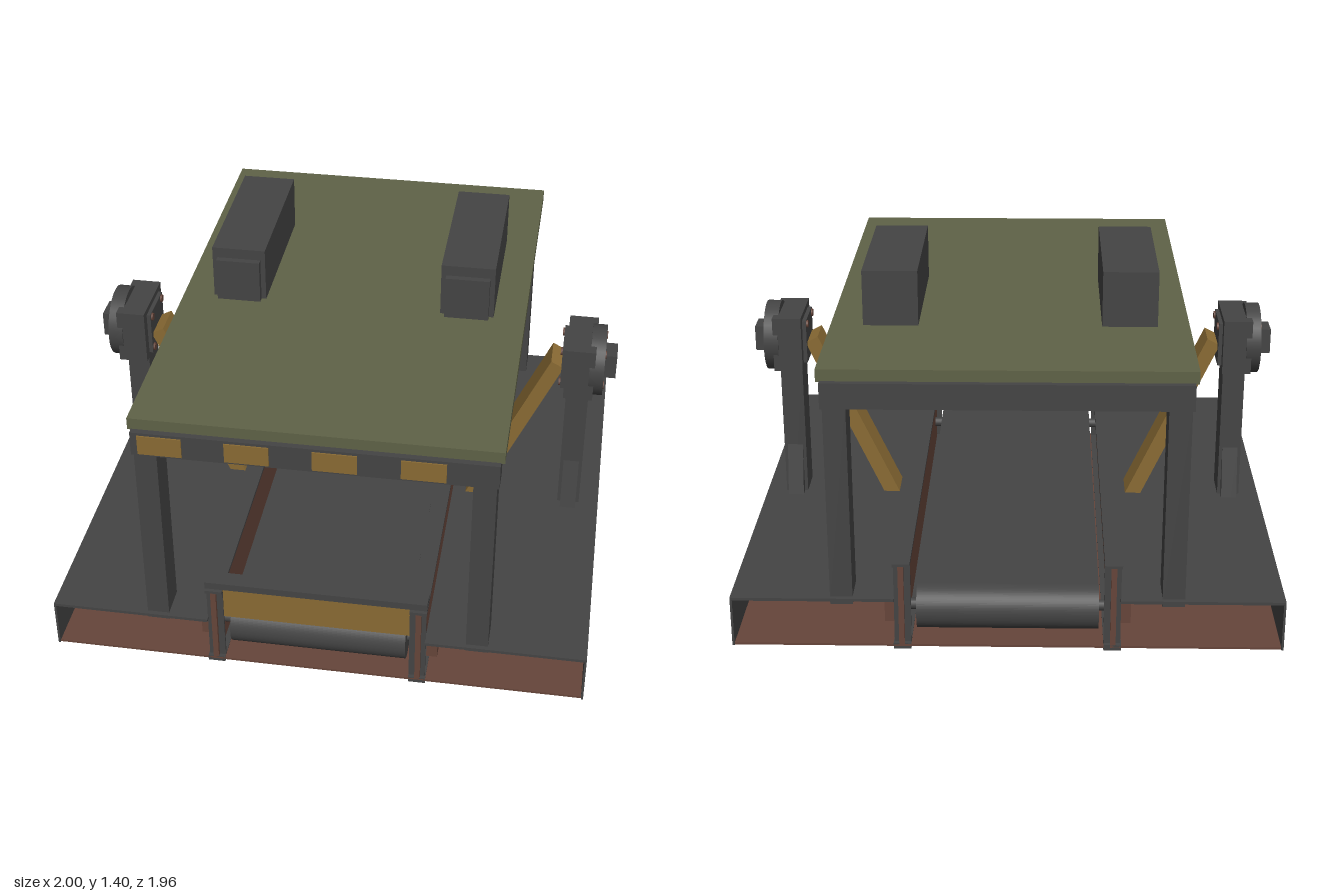
import * as THREE from 'three';

const mat = (name, color) => {
  const m = new THREE.MeshStandardMaterial({ color });
  m.name = name;
  return m;
};

export function createModel() {
  const root = new THREE.Group();
  root.name = 'conveyorGantry';
  const dark = mat('darkSteel', 0x444444);
  const olive = mat('olivePaint', 0x5f6247);
  const yellow = mat('yellowPaint', 0x8a6b34);
  const rust = mat('rustySteel', 0x66453a);

  const add = (parent, name, geo, m) => {
    const mesh = new THREE.Mesh(geo, m);
    mesh.name = name;
    parent.add(mesh);
    return mesh;
  };
  // Box given by its extents along each axis
  const box = (parent, name, m, x0, x1, y0, y1, z0, z1) => {
    const mesh = add(parent, name, new THREE.BoxGeometry(Math.abs(x1 - x0), y1 - y0, Math.abs(z1 - z0)), m);
    mesh.position.set((x0 + x1) / 2, (y0 + y1) / 2, (z0 + z1) / 2);
    return mesh;
  };
  // Cylinder along x
  const rod = (parent, name, m, x0, x1, y, z, r, sides = 32) => {
    const geo = new THREE.CylinderGeometry(r, r, Math.abs(x1 - x0), sides).rotateZ(Math.PI / 2);
    const mesh = add(parent, name, geo, m);
    mesh.position.set((x0 + x1) / 2, y, z);
    return mesh;
  };
  // Polygon in (u, y) extruded by depth, centred on the extrusion axis
  const slab = (points, depth) => {
    const shape = new THREE.Shape(points.map(([u, y]) => new THREE.Vector2(u, y)));
    return new THREE.ExtrudeGeometry(shape, { depth, bevelEnabled: false }).translate(0, 0, -depth / 2);
  };
  const group = (name) => {
    const g = new THREE.Group();
    g.name = name;
    root.add(g);
    return g;
  };

  // Hollow base deck, open at front and back
  const deck = group('deck');
  box(deck, 'floorPlate', rust, -0.98, 0.98, 0.155, 0.163, -0.975, 0.975);
  for (const s of [-1, 1]) {
    box(deck, 'topPlate', dark, s * 0.4, s * 0.98, 0.334, 0.345, -0.98, 0.98);
    box(deck, 'sidePlate', dark, s * 0.973, s * 0.981, 0.155, 0.345, -0.98, 0.98);
    for (const z of [-0.59, 0.59]) box(deck, 'deckLeg', dark, s * 0.935, s * 0.977, 0, 0.334, z - 0.03, z + 0.03);
  }

  // Conveyor: I-beam rails, legs, feet, cross members
  const conveyor = group('conveyor');
  for (const s of [-1, 1]) {
    box(conveyor, 'railWeb', rust, s * 0.365, s * 0.385, 0.155, 0.47, -0.975, 0.975);
    box(conveyor, 'railTopFlange', dark, s * 0.342, s * 0.405, 0.468, 0.48, -0.975, 0.975);
    box(conveyor, 'railBottomFlange', dark, s * 0.342, s * 0.405, 0.145, 0.166, -0.975, 0.975);
    for (const e of [-1, 1]) {
      const z = e * 0.59;
      box(conveyor, 'railEnd', dark, s * 0.342, s * 0.402, 0.15, 0.47, e * 0.95, e * 0.96);
      box(conveyor, 'conveyorLeg', dark, s * 0.342, s * 0.4, 0.012, 0.155, z - 0.033, z + 0.033);
      box(conveyor, 'footPlate', rust, s * 0.305, s * 0.44, 0.005, 0.018, z - 0.07, z + 0.07);
      rod(conveyor, 'rollerShaft', dark, s * 0.31, s * 0.44, 0.265, e * 0.86, 0.02, 16);
      box(conveyor, 'bearingBlock', rust, s * 0.4, s * 0.44, 0.22, 0.31, e * 0.86 - 0.05, e * 0.86 + 0.05);
    }
  }
  for (const z of [-0.59, 0.59]) box(conveyor, 'crossMember', dark, -0.345, 0.345, 0.07, 0.115, z - 0.025, z + 0.025);

  // Belt wrapped round both end rollers
  const beltShape = new THREE.Shape();
  beltShape.absarc(0.86, 0.265, 0.085, -Math.PI / 2, Math.PI / 2, false);
  beltShape.absarc(-0.86, 0.265, 0.085, Math.PI / 2, Math.PI * 1.5, false);
  const beltGeo = new THREE.ExtrudeGeometry(beltShape, { depth: 0.65, bevelEnabled: false, curveSegments: 24 })
    .translate(0, 0, -0.325).rotateY(-Math.PI / 2);
  add(conveyor, 'belt', beltGeo, dark);

  // Guard above the front roller
  box(conveyor, 'guardPlate', yellow, -0.345, 0.345, 0.35, 0.49, 0.935, 0.955);
  box(conveyor, 'guardCap', dark, -0.405, 0.405, 0.488, 0.515, 0.905, 0.97);

  // Portal frame and roof
  const frame = group('portalFrame');
  for (const s of [-1, 1]) {
    for (const e of [-1, 1]) box(frame, 'framePost', dark, s * 0.547, s * 0.627, 0.315, 1.07, e * 0.845, e * 0.962);
    box(frame, 'sideBeam', dark, s * 0.547, s * 0.632, 1.065, 1.152, -0.96, 0.96);
    box(frame, 'endBeam', dark, -0.635, 0.635, 1.06, 1.153, s * 0.88, s * 0.968);
  }
  box(frame, 'roofPanel', olive, -0.648, 0.648, 1.15, 1.195, -0.945, 0.945);
  for (let i = 0; i < 4; i++) {
    const x = -0.61 + i * 0.304;
    box(frame, 'hazardStripe', yellow, x, x + 0.155, 1.068, 1.143, 0.967, 0.973);
  }

  // Roof housings with a front lip
  for (const x of [-0.432, 0.43]) {
    box(frame, 'roofHousing', dark, x - 0.1, x + 0.1, 1.19, 1.4, -0.49, 0.1);
    box(frame, 'housingLip', dark, x - 0.082, x + 0.082, 1.19, 1.36, 0.1, 0.125);
  }

  // Side towers with pivot heads and slanted arms
  for (const s of [-1, 1]) {
    const tower = group(s > 0 ? 'leftTower' : 'rightTower');
    box(tower, 'column', dark, s * 0.82, s * 0.905, 0.02, 0.9, -0.067, 0.067);
    box(tower, 'basePlate', rust, s * 0.745, s * 0.978, 0.005, 0.027, -0.175, 0.175);
    for (const e of [-1, 1]) {
      const pts = [[0.135, 0.025], [0.172, 0.025], [0.066, 0.55], [0.045, 0.5]];
      const brace = add(tower, 'columnBrace', slab(pts.map(([u, y]) => [u * e, y]), 0.06).rotateY(-Math.PI / 2), dark);
      brace.position.x = s * 0.8625;
    }
    box(tower, 'headBlock', dark, s * 0.81, s * 0.92, 0.88, 1.092, -0.128, 0.128);
    box(tower, 'innerFlange', dark, s * 0.795, s * 0.812, 0.9, 1.07, -0.09, 0.09);
    rod(tower, 'headDisc', dark, s * 0.9, s * 0.955, 0.985, 0, 0.135);
    box(tower, 'headCap', dark, s * 0.95, s * 1, 0.937, 1.033, -0.048, 0.048);
    for (const [z, y] of [[0.07, 1.053], [-0.07, 1.053], [0.07, 0.917]]) {
      rod(tower, 'bolt', rust, s * 0.788, s * 0.959, y, z, 0.015, 12);
    }
    // Arm from the head down to the conveyor rail
    const arm = [[0.755, 1.0], [0.803, 0.975], [0.465, 0.24], [0.41, 0.255]];
    add(tower, 'arm', slab(arm.map(([u, y]) => [u * s, y]), 0.135), yellow);
    box(tower, 'armFoot', yellow, s * 0.4, s * 0.468, 0.168, 0.31, -0.067, 0.067);
  }
  return root;
}
